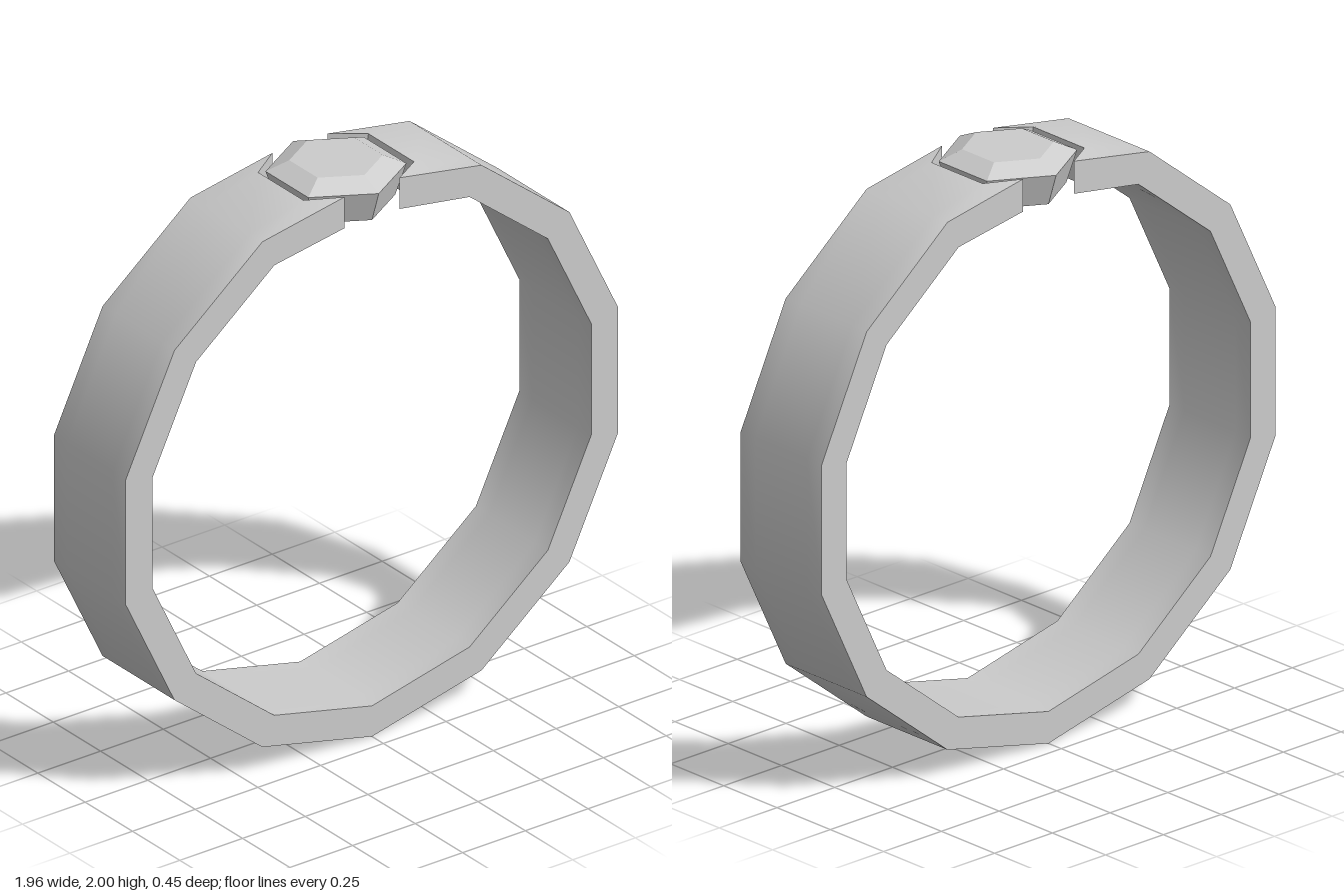
import * as THREE from 'three';
import { toCreasedNormals } from 'three/addons/utils/BufferGeometryUtils.js';

const SIDES = 14, CENTER_Y = 1.007, OUTER = 1.007, INNER = 0.897;
const LANES = [0.19, 0.12, -0.12, -0.19]; // z positions across the band

// One loop of eight points: outer lanes front to back, inner lanes back to front
function section(outerAt, innerAt) {
  const outer = LANES.map((z, i) => [...outerAt(i), z]);
  const inner = LANES.map((z, i) => [...innerAt(i), z]).reverse();
  return [...outer, ...inner];
}

// Regular polygon section of the band, k steps clockwise from the top
function bandSection(k) {
  const a = (k / SIDES) * Math.PI * 2;
  const at = (r) => () => [r * Math.sin(a), CENTER_Y + r * Math.cos(a)];
  return section(at(OUTER), at(INNER));
}

// Notched end of the band that follows three sides of the hexagonal stone
function endSection(side) {
  const notch = (i) => i === 1 || i === 2;
  return section(
    (i) => (notch(i) ? [side * 0.22, 1.966] : [side * 0.11, 1.972]),
    (i) => (notch(i) ? [side * 0.2, 1.85] : [side * 0.11, 1.86])
  );
}

function bandGeometry() {
  const sections = [endSection(1)];
  for (let k = 1; k < SIDES; k++) sections.push(bandSection(k));
  sections.push(endSection(-1));

  const positions = [];
  const quad = (a, b, c, d) => positions.push(...a, ...b, ...c, ...a, ...c, ...d);

  for (let k = 0; k < sections.length - 1; k++) {
    const s = sections[k], t = sections[k + 1];
    for (let j = 0; j < 8; j++) {
      const n = (j + 1) % 8;
      quad(s[j], t[j], t[n], s[n]);
    }
  }
  // Walls facing the stone
  const first = sections[0], last = sections[sections.length - 1];
  for (let j = 0; j < 3; j++) {
    quad(first[j], first[j + 1], first[6 - j], first[7 - j]);
    quad(last[j], last[7 - j], last[6 - j], last[j + 1]);
  }

  const geometry = new THREE.BufferGeometry();
  geometry.setAttribute('position', new THREE.Float32BufferAttribute(positions, 3));
  return toCreasedNormals(geometry, 0.6);
}

export function createModel() {
  const group = new THREE.Group();
  group.name = 'ring';

  // Band, smooth around its circumference with sharp rims
  const band = new THREE.Mesh(bandGeometry(), new THREE.MeshStandardMaterial({ color: 0xcccccc }));
  band.name = 'band';
  group.add(band);

  // Six-sided stone: flat base, flared sides, bevel and flat table
  const profile = [[0, 1.855], [0.19, 1.855], [0.226, 1.965], [0.15, 2], [0, 2]]
    .map(([r, y]) => new THREE.Vector2(r, y));
  const stone = new THREE.Mesh(
    new THREE.LatheGeometry(profile, 6),
    new THREE.MeshStandardMaterial({ color: 0xcccccc, flatShading: true })
  );
  stone.name = 'stone';
  group.add(stone);

  return group;
}
